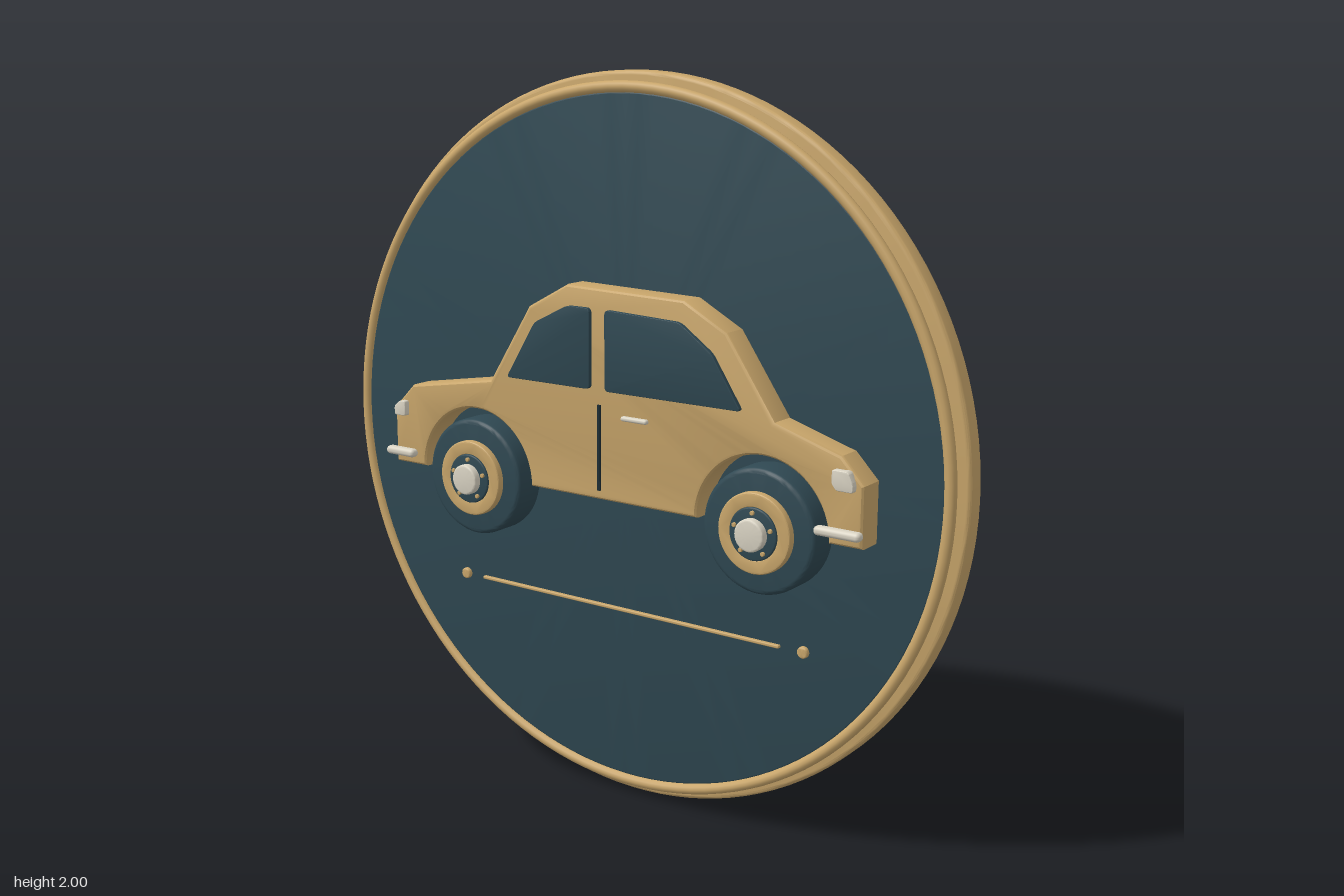
import * as THREE from 'three';
import { RoundedBoxGeometry } from 'three/addons/geometries/RoundedBoxGeometry.js';
import { toCreasedNormals } from 'three/addons/utils/BufferGeometryUtils.js';

const material = (name, color) => {
  const m = new THREE.MeshStandardMaterial({ color });
  m.name = name;
  return m;
};

export function createModel() {
  const gold = material('gold', 0xc9a66b);
  const teal = material('dark teal', 0x2f4852);
  const cream = material('cream', 0xd9d3c3);
  const ink = material('ink', 0x1c2c34);

  const root = new THREE.Group();
  root.name = 'carMedallion';

  const add = (name, geometry, mat, x = 0, y = 0, z = 0, parent = root) => {
    const mesh = new THREE.Mesh(geometry, mat);
    mesh.name = name;
    mesh.position.set(x, y, z);
    parent.add(mesh);
    return mesh;
  };

  // Solid disc along z with rounded rims, from z0 to z1
  const disc = (radius, z0, z1, round, segments = 64) => {
    const pts = [new THREE.Vector2(0, z0)];
    for (let i = 0; i <= 4; i++) {
      const a = (i / 4) * Math.PI / 2;
      pts.push(new THREE.Vector2(radius - round + round * Math.sin(a), z0 + round - round * Math.cos(a)));
    }
    for (let i = 0; i <= 4; i++) {
      const a = (i / 4) * Math.PI / 2;
      pts.push(new THREE.Vector2(radius - round + round * Math.cos(a), z1 - round + round * Math.sin(a)));
    }
    pts.push(new THREE.Vector2(0, z1));
    return toCreasedNormals(new THREE.LatheGeometry(pts, segments).rotateX(Math.PI / 2), 0.5);
  };

  // Extruded plate between z0 and z1 with a bevel kept inside the outline
  const plate = (shape, z0, z1, bevel) => {
    const g = new THREE.ExtrudeGeometry(shape, {
      depth: z1 - z0 - 2 * bevel, bevelThickness: bevel, bevelSize: bevel,
      bevelOffset: -bevel, bevelSegments: 3, curveSegments: 28,
    });
    return toCreasedNormals(g.translate(0, 0, z0 + bevel), 0.5);
  };

  // Polygon with its corners rounded
  const roundedShape = (points, r) => {
    const v = points.map(([x, y]) => new THREE.Vector2(x, y));
    const s = new THREE.Shape();
    v.forEach((p, i) => {
      const prev = v[(i + v.length - 1) % v.length], next = v[(i + 1) % v.length];
      const a = p.clone().add(prev.clone().sub(p).setLength(r));
      const b = p.clone().add(next.clone().sub(p).setLength(r));
      if (i) s.lineTo(a.x, a.y); else s.moveTo(a.x, a.y);
      s.quadraticCurveTo(p.x, p.y, b.x, b.y);
    });
    s.closePath();
    return s;
  };

  // Medallion
  add('backDisc', disc(1, -0.113, -0.052, 0.012, 128), gold, 0, 1);
  add('facePanel', disc(0.946, -0.06, -0.024, 0.005, 128), teal, 0, 1);
  add('rimRing', new THREE.TorusGeometry(0.959, 0.0155, 12, 128), gold, 0, 1, -0.027);

  // Car body with wheel arches cut from the sill
  const axleY = 0.87, arch = 0.195, axles = { rear: -0.46, front: 0.48 };
  const body = new THREE.Shape();
  body.moveTo(-0.77, axleY);
  for (const [x, y] of [[-0.77, 1.035], [-0.7, 1.105], [-0.405, 1.155], [-0.265, 1.375],
    [-0.135, 1.445], [0.24, 1.435], [0.37, 1.365], [0.515, 1.155], [0.705, 1.097],
    [0.77, 1.03], [0.77, axleY]]) body.lineTo(x, y);
  for (const x of [axles.front, axles.rear]) {
    body.lineTo(x + arch, axleY);
    body.absarc(x, axleY, arch, 0, Math.PI, false);
  }
  body.closePath();
  add('carBody', plate(body, -0.03, 0.057, 0.013), gold);

  // Windows
  const windows = {
    rearWindow: [[-0.335, 1.173], [-0.235, 1.335], [-0.125, 1.39], [-0.05, 1.39], [-0.05, 1.173]],
    frontWindow: [[0, 1.173], [0, 1.39], [0.235, 1.38], [0.335, 1.31], [0.425, 1.173]],
  };
  for (const [name, pts] of Object.entries(windows))
    add(name, plate(roundedShape(pts, 0.014), 0.054, 0.069, 0.002), teal);

  // Door details
  add('doorSeam', new THREE.BoxGeometry(0.009, 0.235, 0.01), ink, -0.024, 1.015, 0.058);
  add('doorHandle', new RoundedBoxGeometry(0.084, 0.013, 0.018, 3, 0.006), cream, 0.093, 1.106, 0.06);

  // Lamps
  const lamps = {
    rearLamp: [[-0.756, 1.014], [-0.714, 1.014], [-0.714, 1.058], [-0.735, 1.058], [-0.756, 1.04]],
    frontLamp: [[0.69, 1.03], [0.703, 1.014], [0.75, 1.014], [0.75, 1.035], [0.735, 1.066], [0.69, 1.066]],
  };
  for (const [name, pts] of Object.entries(lamps))
    add(name, plate(roundedShape(pts, 0.007), 0.05, 0.075, 0.004), cream);

  // Bumpers
  for (const [name, x, length] of [['rearBumper', -0.733, 0.106], ['frontBumper', 0.711, 0.13]])
    add(name, new RoundedBoxGeometry(length, 0.024, 0.03, 4, 0.011), cream, x, 0.907, 0.07);

  // Wheels
  for (const [name, x] of Object.entries(axles)) {
    const wheel = new THREE.Group();
    wheel.name = name + 'Wheel';
    wheel.position.set(x, axleY, 0);
    root.add(wheel);
    add('tyre', disc(0.166, -0.03, 0.068, 0.014), teal, 0, 0, 0, wheel);
    const rim = new THREE.Shape().absarc(0, 0, 0.107, 0, Math.PI * 2);
    rim.holes.push(new THREE.Path().absarc(0, 0, 0.068, 0, Math.PI * 2, true));
    add('rim', plate(rim, 0.06, 0.088, 0.006), gold, 0, 0, 0, wheel);
    add('hub', disc(0.07, 0.06, 0.092, 0.004), teal, 0, 0, 0, wheel);
    for (let i = 0; i < 5; i++) {
      const a = Math.PI / 2 + i * Math.PI * 2 / 5;
      add('bolt', disc(0.006, 0.088, 0.099, 0.002, 12), gold, 0.056 * Math.cos(a), 0.056 * Math.sin(a), 0, wheel);
    }
    add('hubCap', disc(0.043, 0.085, 0.113, 0.006, 40), cream, 0, 0, 0, wheel);
  }

  // Ground line with end dots
  add('groundLine', new RoundedBoxGeometry(1.005, 0.009, 0.016, 2, 0.003), gold, -0.002, 0.543, -0.021);
  for (const side of [-1, 1])
    add('groundDot', disc(0.016, -0.03, -0.012, 0.005, 24), gold, side * 0.571, 0.543);

  return root;
}
